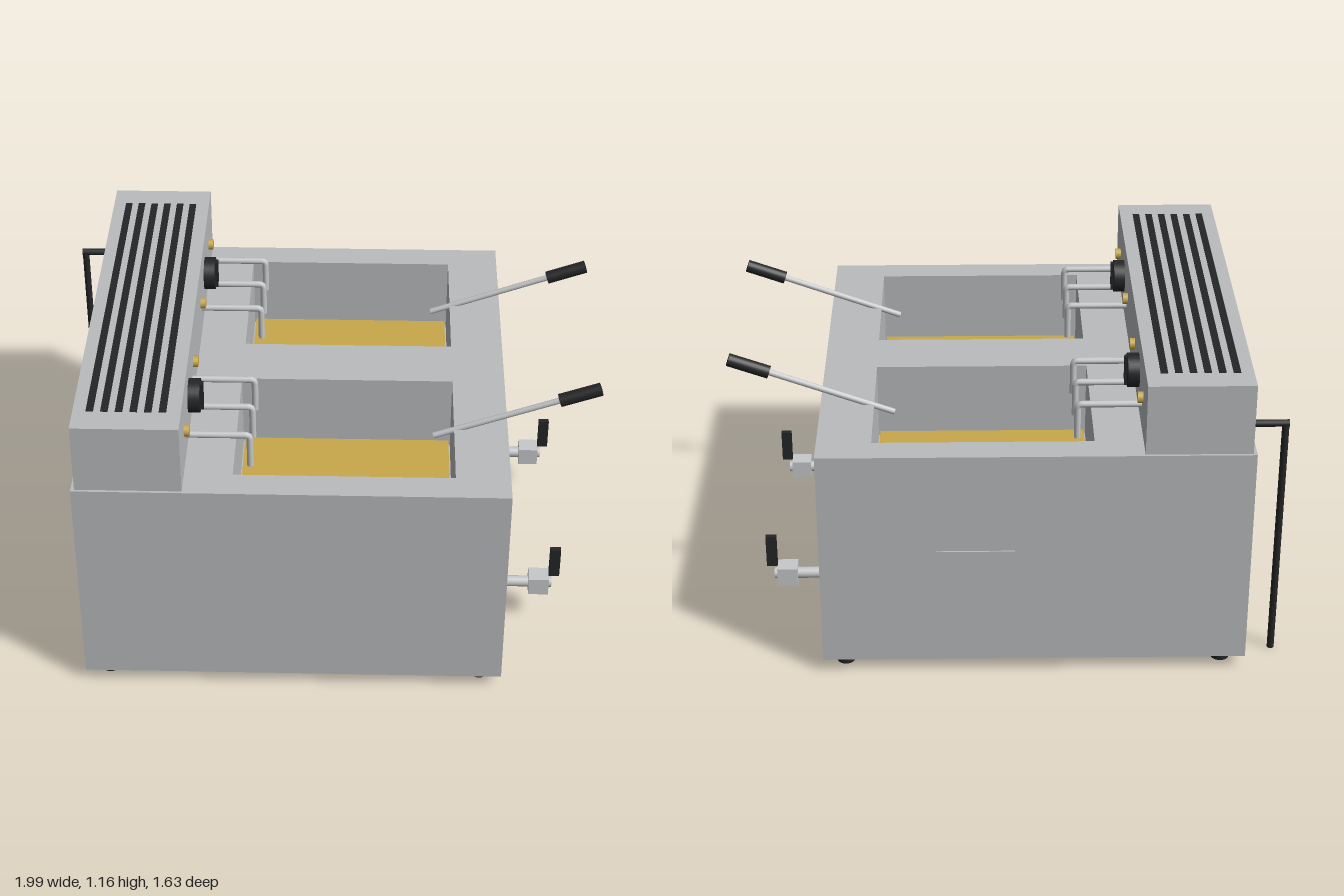
import * as THREE from 'three';

const mat = (name, color) => {
  const m = new THREE.MeshStandardMaterial({ color });
  m.name = name;
  return m;
};

export function createModel() {
  const model = new THREE.Group();
  model.name = 'doubleFryer';
  const steel = mat('brushed steel', 0xb9bbbd);
  const bright = mat('bright steel', 0xc6c8ca);
  const black = mat('black plastic', 0x242526);
  const gold = mat('oil gold', 0xc8a84b);

  const add = (name, geo, material, x = 0, y = 0, z = 0) => {
    const mesh = new THREE.Mesh(geo, material);
    mesh.name = name;
    mesh.position.set(x, y, z);
    model.add(mesh);
    return mesh;
  };
  // Box given by its lower and upper corners
  const box = (name, material, a, b) => add(name,
    new THREE.BoxGeometry(b[0] - a[0], b[1] - a[1], b[2] - a[2]), material,
    (a[0] + b[0]) / 2, (a[1] + b[1]) / 2, (a[2] + b[2]) / 2);
  // Round rod between two points
  const rod = (name, material, r, a, b, sides = 20) => {
    const p = new THREE.Vector3(...a), q = new THREE.Vector3(...b);
    const mesh = add(name, new THREE.CylinderGeometry(r, r, p.distanceTo(q), sides), material);
    mesh.position.copy(p).add(q).multiplyScalar(0.5);
    mesh.quaternion.setFromUnitVectors(new THREE.Vector3(0, 1, 0), q.sub(p).normalize());
    return mesh;
  };

  // Cabinet with two rectangular wells
  const rect = (path, x0, z0, x1, z1) => path.moveTo(x0, z0).lineTo(x1, z0).lineTo(x1, z1).lineTo(x0, z1).closePath();
  const outline = new THREE.Shape();
  rect(outline, -0.875, -0.81, 0.662, 0.81);
  for (const [z0, z1] of [[0.115, 0.7], [-0.7, -0.115]]) {
    const hole = new THREE.Path();
    rect(hole, -0.315, z0, 0.468, z1);
    outline.holes.push(hole);
  }
  const cabinet = new THREE.ExtrudeGeometry(outline, { depth: 0.84, bevelEnabled: false });
  cabinet.rotateX(-Math.PI / 2);
  add('cabinet', cabinet, steel, 0, 0.05, 0);

  // Control housing with vent slots
  box('controlHousing', steel, [-0.862, 0.89, -0.8], [-0.487, 1.155, 0.8]);
  for (let i = 0; i < 6; i++) {
    const x = -0.803 + i * 0.0505;
    box('ventSlot', black, [x - 0.013, 1.151, -0.7], [x + 0.013, 1.157, 0.7]);
  }

  // Each fryer unit
  for (const s of [1, -1]) {
    const zc = s * 0.407;
    // Well floor and oil
    box('wellFloor', steel, [-0.315, 0.05, zc - 0.2925], [0.468, 0.6, zc + 0.2925]);
    box('oil', gold, [-0.309, 0.6, zc - 0.2865], [0.462, 0.62, zc + 0.2865]);

    // Thermostat knob with grip
    rod('knob', black, 0.062, [-0.487, 1.02, zc], [-0.445, 1.02, zc], 32);
    box('knobGrip', black, [-0.445, 0.965, zc - 0.012], [-0.434, 1.075, zc + 0.012]);

    // Indicator lamps
    for (const dz of [0.212, -0.212])
      rod('indicatorLamp', gold, 0.021, [-0.487, 1.02, zc + dz], [-0.468, 1.02, zc + dz]);

    // Heating element tubes
    for (const dz of [-0.17, 0, 0.17]) {
      const z = zc + dz;
      const path = new THREE.CurvePath();
      const v = (x, y) => new THREE.Vector3(x, y, z);
      path.add(new THREE.LineCurve3(v(-0.49, 0.972), v(-0.275, 0.972)));
      path.add(new THREE.QuadraticBezierCurve3(v(-0.275, 0.972), v(-0.26, 0.972), v(-0.26, 0.957)));
      path.add(new THREE.LineCurve3(v(-0.26, 0.957), v(-0.26, 0.845)));
      add('heatingTube', new THREE.TubeGeometry(path, 40, 0.012, 12), bright);
      rod('heatingTubeEnd', bright, 0.012, [-0.26, 0.84, z], [-0.26, 0.85, z], 12);
    }

    // Basket lever and grip
    rod('basketLever', bright, 0.011, [0.395, 0.857, zc], [0.845, 1.022, zc], 12);
    rod('basketGrip', black, 0.024, [0.842, 1.021, zc], [0.986, 1.073, zc]);

    // Drain tap
    rod('drainPipe', bright, 0.021, [0.66, 0.172, zc], [0.862, 0.172, zc]);
    box('tapBody', bright, [0.775, 0.137, zc - 0.036], [0.85, 0.208, zc + 0.036]);
    box('tapLever', black, [0.85, 0.208, zc - 0.01], [0.89, 0.333, zc + 0.01]);
  }

  // Feet
  for (const x of [-0.792, 0.583])
    for (const z of [0.73, -0.73])
      rod('foot', black, 0.033, [x, 0, z], [x, 0.052, z]);

  // Cable hanging beside the cabinet
  rod('cableInlet', black, 0.013, [-1, 0.943, -0.675], [-0.862, 0.943, -0.675], 12);
  rod('cable', black, 0.013, [-0.987, 0, -0.675], [-0.987, 0.945, -0.675], 12);

  // Blank rating plate on the back
  box('ratingPlate', steel, [-0.035, 0.34, -0.816], [0.245, 0.51, -0.809]);

  return model;
}
